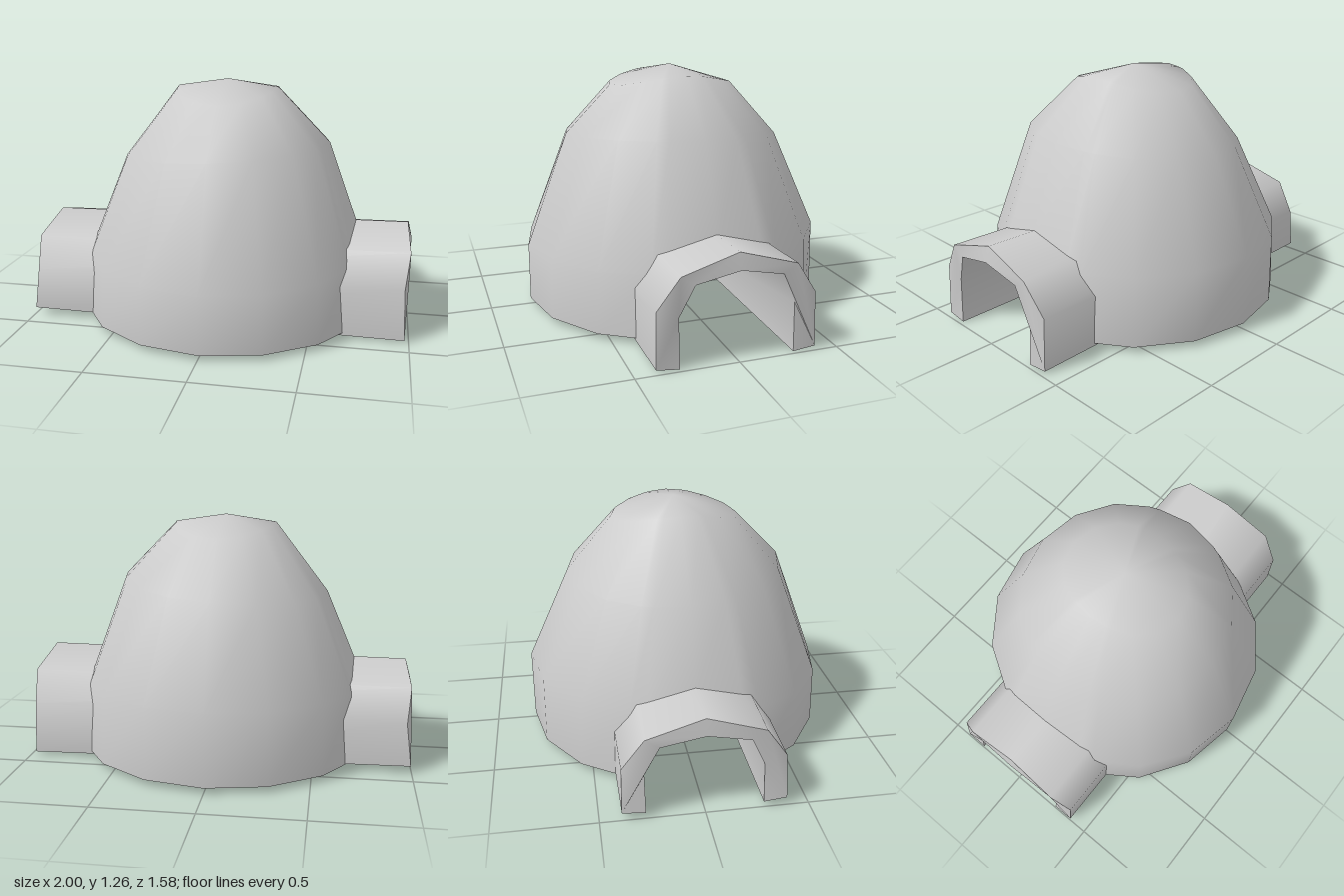
import * as THREE from 'three';
import { mergeVertices, toCreasedNormals } from 'three/addons/utils/BufferGeometryUtils.js';

const material = new THREE.MeshStandardMaterial({ color: 0xcccccc, side: THREE.DoubleSide });
const SIDES = 16, BASE = 0.03, CUT = 0.44; // CUT: half angle of the dome opening

// Slightly uneven dome profile at one angle: [radius, height] from rim to apex
function profile(a) {
  const c = Math.cos(a), s = Math.sin(a), c2 = Math.cos(2 * a);
  return [
    [0.79, BASE],
    [0.775 - 0.015 * c2, 0.365 - 0.035 * s],
    [0.56 - 0.01 * c2, 0.9 + 0.04 * c + 0.02 * s],
    [0.3 - 0.03 * c2, 1.195 + 0.03 * c2],
    [0, 1.265],
  ];
}

// Point on the many-sided dome; keeps in-between angles on the flat facet
function domePoint(a, [r, y]) {
  const step = (2 * Math.PI) / SIDES;
  const off = a - (Math.floor(a / step + 1e-6) + 0.5) * step;
  const k = r * Math.cos(step / 2) / Math.cos(off);
  return [k * Math.cos(a), y, k * Math.sin(a)];
}

// Columns of the dome wall: angle and height where the wall begins
function domeColumns() {
  const columns = [];
  for (const centre of [0, Math.PI]) {
    // over the arch, hidden inside the tunnel wall
    for (const [a, y] of [[-CUT, 0.25], [-0.33, 0.4], [0, 0.48], [0.33, 0.4], [CUT, 0.25], [CUT, BASE]])
      columns.push([centre + a, y]);
    // full height wall between the two openings
    for (let i = 2; i <= 6; i++) columns.push([centre + i * Math.PI / 8, BASE]);
    columns.push([centre + Math.PI - CUT, BASE]);
  }
  columns.push([2 * Math.PI - CUT, 0.25]);
  return columns;
}

function domeGeometry() {
  const positions = [], index = [], rows = 5;
  const columns = domeColumns();
  columns.forEach(([a, low], c) => {
    const rings = profile(a);
    const j = rings.findIndex(p => p[1] > low);
    if (low > BASE) {
      const [r0, y0] = rings[j - 1], [r1, y1] = rings[j];
      const start = [r0 + (r1 - r0) * (low - y0) / (y1 - y0), low];
      for (let i = 0; i < j; i++) rings[i] = start;
    }
    rings.forEach(p => positions.push(...domePoint(a, p)));
    if (c === columns.length - 1) return;
    for (let r = 0; r < rows - 1; r++) {
      const p = c * rows + r, q = p + rows;
      index.push(p, p + 1, q, q, p + 1, q + 1);
    }
  });
  const geometry = new THREE.BufferGeometry();
  geometry.setAttribute('position', new THREE.Float32BufferAttribute(positions, 3));
  geometry.setIndex(index);
  const merged = mergeVertices(geometry, 1e-4);
  merged.computeVertexNormals();
  return merged;
}

// Flat underside on one side of the tunnel
function floorGeometry() {
  const angles = [CUT];
  for (let i = 2; i <= 6; i++) angles.push(i * Math.PI / 8);
  angles.push(Math.PI - CUT);
  const points = angles.map(a => {
    const [x, , z] = domePoint(a, [0.79, 0]);
    return new THREE.Vector2(x, z);
  });
  return new THREE.ShapeGeometry(new THREE.Shape(points)).rotateX(Math.PI / 2);
}

// Thick arch running straight through the dome
function tunnelGeometry() {
  const outer = [[0.395, 0.025], [0.392, 0.27], [0.285, 0.43], [0, 0.51]];
  const inner = [[0.282, 0.0125], [0.285, 0.23], [0.215, 0.385], [0, 0.43]];
  const mirror = pts => pts.slice(0, 3).reverse().map(([x, y]) => [-x, y]);
  const outline = [...outer, ...mirror(outer), ...[...inner, ...mirror(inner)].reverse()];
  const shape = new THREE.Shape(outline.map(p => new THREE.Vector2(...p)));
  const geometry = new THREE.ExtrudeGeometry(shape, { depth: 2, bevelEnabled: false });
  geometry.translate(0, 0, -1).rotateY(Math.PI / 2);
  // hand-shaped ends: hollowed shoulders, and a mouth slightly taller at the left
  const p = geometry.attributes.position;
  for (let i = 0; i < p.count; i++) {
    const x = Math.sign(p.getX(i)), y = p.getY(i);
    const inset = y > 0.2 && y < 0.3 ? 0.032 : y > 0.45 || (y < 0.2 && x > 0) ? 0.022 : y < 0.2 ? 0.005 : 0.008;
    p.setX(i, x * (1 - (y > 0.42 && y < 0.431 && Math.abs(p.getZ(i)) < 0.1 ? 0 : inset)));
    p.setY(i, y + 0.0125 * x * (y > 0.2 ? 1 : -1));
  }
  return toCreasedNormals(geometry, 0.85);
}

export function createModel() {
  const model = new THREE.Group();
  model.name = 'domeHut';
  const add = (name, geometry) => {
    const mesh = new THREE.Mesh(geometry, material);
    mesh.name = name;
    model.add(mesh);
    return mesh;
  };
  add('dome', domeGeometry());
  add('entranceTunnel', tunnelGeometry());
  for (const [name, turn] of [['frontFloor', 0], ['backFloor', Math.PI]]) {
    const floor = add(name, floorGeometry());
    floor.position.y = BASE;
    floor.rotation.y = turn;
  }
  return model;
}
